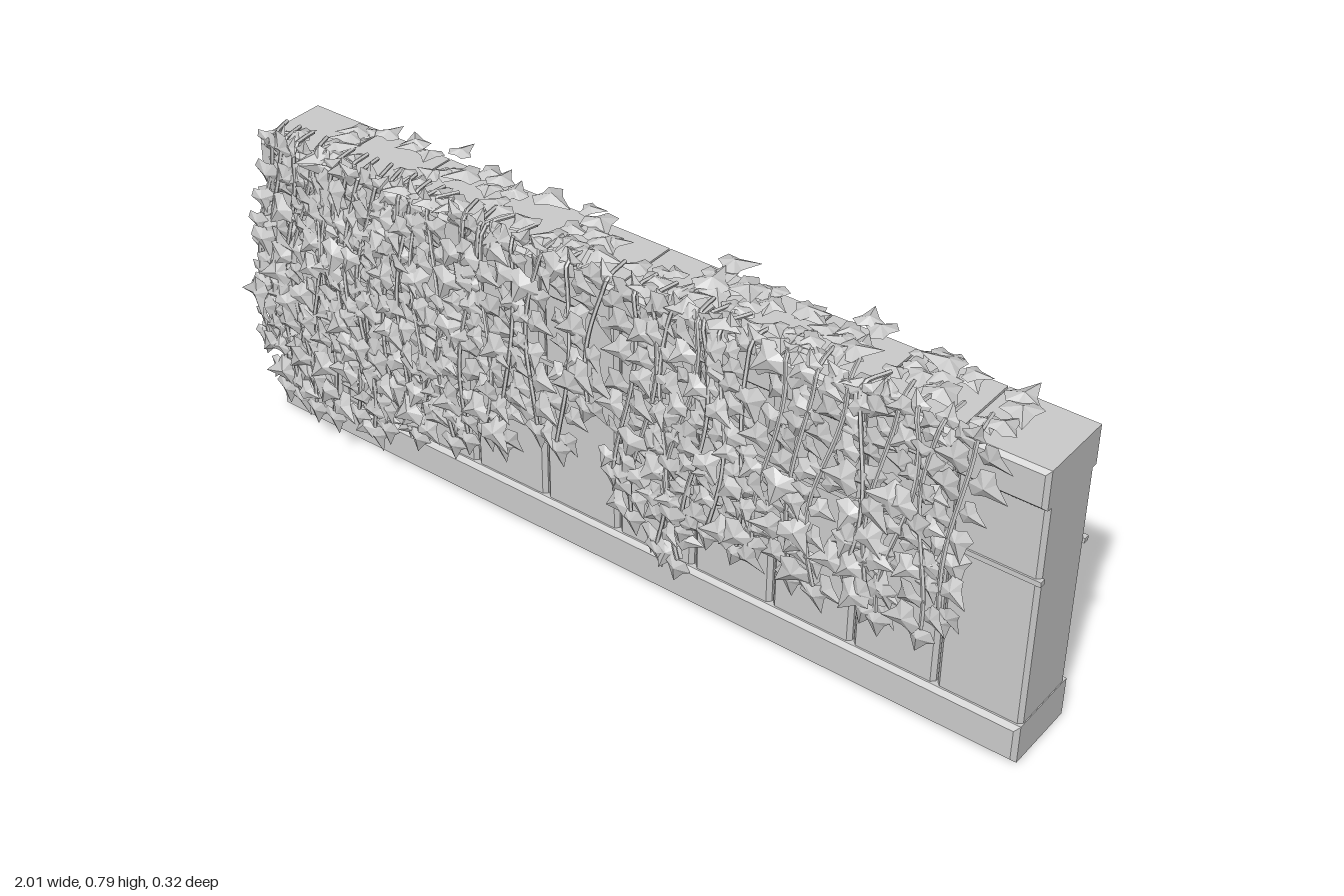
import * as THREE from 'three';
import { mergeGeometries } from 'three/addons/utils/BufferGeometryUtils.js';

const stone = new THREE.MeshStandardMaterial({ color: 0xcccccc, flatShading: true });
const foliage = new THREE.MeshStandardMaterial({ color: 0xcccccc, flatShading: true, side: THREE.DoubleSide });

// Small seeded generator
let seed = 7;
const rnd = () => {
  seed = (seed * 16807) % 2147483647;
  return seed / 2147483647;
};
const spread = (a) => (rnd() * 2 - 1) * a;

// Box given by its limits, with chamfered edges
function block(name, [x0, x1], [y0, y1], [z0, z1], c) {
  const s = new THREE.Shape();
  s.moveTo(x0 + c, y0 + c);
  s.lineTo(x1 - c, y0 + c);
  s.lineTo(x1 - c, y1 - c);
  s.lineTo(x0 + c, y1 - c);
  s.closePath();
  const g = new THREE.ExtrudeGeometry(s, {
    depth: z1 - z0 - 2 * c, bevelEnabled: true, bevelSegments: 1, bevelSize: c, bevelThickness: c,
  });
  g.translate(0, 0, z0 + c);
  const m = new THREE.Mesh(g, stone);
  m.name = name;
  return m;
}

// Pointed, lobed leaf folded up around its centre, growing along +y from its stalk
function leafGeometry() {
  const rim = [[0, 0], [0.3, -0.08], [0.52, 0.22], [0.27, 0.45], [0, 1],
    [-0.27, 0.45], [-0.52, 0.22], [-0.3, -0.08]];
  const pos = [];
  rim.forEach((p, i) => {
    const q = rim[(i + 1) % rim.length];
    pos.push(0, 0.3, 0.16, p[0], p[1], 0, q[0], q[1], 0);
  });
  const g = new THREE.BufferGeometry();
  g.setAttribute('position', new THREE.Float32BufferAttribute(pos, 3));
  g.computeVertexNormals();
  return g;
}

const leaf = leafGeometry();
function placeLeaf(position, rotation, size) {
  const q = new THREE.Quaternion().setFromEuler(rotation);
  return leaf.clone().applyMatrix4(
    new THREE.Matrix4().compose(position, q, new THREE.Vector3(size, size, size)));
}

// Distance of the hanging ivy from the wall at height y
const hang = (y) => 0.085 + 0.058 * Math.sin(Math.min(1, Math.max(0, (0.76 - y) / 0.45)) * Math.PI / 2);

export function createModel() {
  seed = 7;
  const model = new THREE.Group();

  // Wall: plinth, panels with coping stones, and a thin course on both faces
  const wall = new THREE.Group();
  wall.name = 'wall';
  wall.add(block('plinth', [-0.995, 0.995], [0, 0.095], [-0.127, 0.072], 0.01));
  for (let i = 0; i < 10; i++) {
    const x = -0.995 + i * 0.199;
    const span = [x + 0.002, x + 0.197];
    wall.add(block('panel', span, [0.085, 0.645], [-0.113, 0.058], 0.009));
    wall.add(block('copingStone', span, [0.628, 0.72], [-0.127, 0.072], 0.009));
  }
  for (const z of [-0.111, 0.055]) {
    const course = new THREE.Mesh(new THREE.BoxGeometry(1.996, 0.012, 0.014), stone);
    course.position.set(0, 0.455, z);
    course.name = 'course';
    wall.add(course);
  }
  model.add(wall);

  // Hanging vines: [x at the top, lowest y]
  const vines = [
    [-0.95, 0.26], [-0.91, 0.15], [-0.87, 0.14], [-0.83, 0.13], [-0.79, 0.22], [-0.75, 0.13],
    [-0.71, 0.3], [-0.68, 0.17], [-0.64, 0.14], [-0.61, 0.17], [-0.57, 0.28], [-0.53, 0.22],
    [-0.49, 0.19], [-0.45, 0.24], [-0.4, 0.22], [-0.35, 0.25], [-0.3, 0.29], [-0.24, 0.28],
    [-0.17, 0.36], [-0.09, 0.34], [-0.01, 0.47], [0.07, 0.34], [0.12, 0.25], [0.17, 0.2],
    [0.21, 0.18], [0.25, 0.28], [0.3, 0.3], [0.36, 0.29], [0.42, 0.33], [0.49, 0.29],
    [0.55, 0.28], [0.62, 0.38], [0.67, 0.3], [0.72, 0.29], [0.78, 0.3], [0.84, 0.36],
  ];
  const stems = [];
  const leaves = [];
  for (const [x0, low] of vines) {
    const phase = rnd() * 6.28;
    const sway = 0.012 + rnd() * 0.015;
    const at = (y) => new THREE.Vector3(
      Math.max(-0.955, x0 + sway * Math.sin(phase + y * 11)), y, hang(y));
    const path = [new THREE.Vector3(x0, 0.755, 0.02)];
    for (let i = 0; i <= 7; i++) path.push(at(0.752 + (low - 0.752) * i / 7));
    stems.push(new THREE.TubeGeometry(new THREE.CatmullRomCurve3(path), 24, 0.005, 5));

    // Leaves alternate along the vine, tips mostly down and outwards
    let side = 1;
    for (let y = 0.75; y > low; y -= 0.026 + rnd() * 0.008) {
      side = -side;
      const p = at(y);
      p.x = Math.max(-0.96, p.x + side * 0.014);
      p.z += spread(0.008);
      let turn = Math.PI + side * (0.2 + rnd() * 1.3);
      if (p.x < -0.93) turn = Math.PI + rnd() * 0.8;
      leaves.push(placeLeaf(p, new THREE.Euler(spread(0.25), spread(0.3), turn), 0.05 + rnd() * 0.032));
    }
    // Leaf at the vine's end and an upright one on the crest
    leaves.push(placeLeaf(at(low), new THREE.Euler(0.1, 0, Math.PI + spread(0.3)), 0.07));
    leaves.push(placeLeaf(new THREE.Vector3(x0, 0.74, 0.085 + spread(0.012)),
      new THREE.Euler(spread(0.25), spread(0.4), spread(0.9)), 0.05));
  }

  // Flat leaves in clumps on top: [centre x, half width, count]
  const clumps = [[-0.82, 0.09, 11], [-0.55, 0.1, 15], [-0.36, 0.07, 8], [-0.18, 0.1, 17],
    [0.13, 0.1, 14], [0.28, 0.08, 10], [0.45, 0.1, 20], [0.67, 0.08, 12], [0.83, 0.05, 4]];
  for (const [cx, half, count] of clumps) {
    for (let i = 0; i < count; i++) {
      const p = new THREE.Vector3(cx + spread(half), 0.752 + spread(0.005), -0.01 + spread(0.085));
      const turn = new THREE.Matrix4().makeRotationY(rnd() * 6.28)
        .multiply(new THREE.Matrix4().makeRotationX(-Math.PI / 2 + spread(0.12)));
      leaves.push(placeLeaf(p, new THREE.Euler().setFromRotationMatrix(turn), 0.055 + rnd() * 0.03));
    }
  }

  const ivy = new THREE.Group();
  ivy.name = 'ivy';
  const stemMesh = new THREE.Mesh(mergeGeometries(stems), foliage);
  stemMesh.name = 'stems';
  const leafMesh = new THREE.Mesh(mergeGeometries(leaves), foliage);
  leafMesh.name = 'leaves';
  ivy.add(stemMesh, leafMesh);
  model.add(ivy);
  return model;
}
